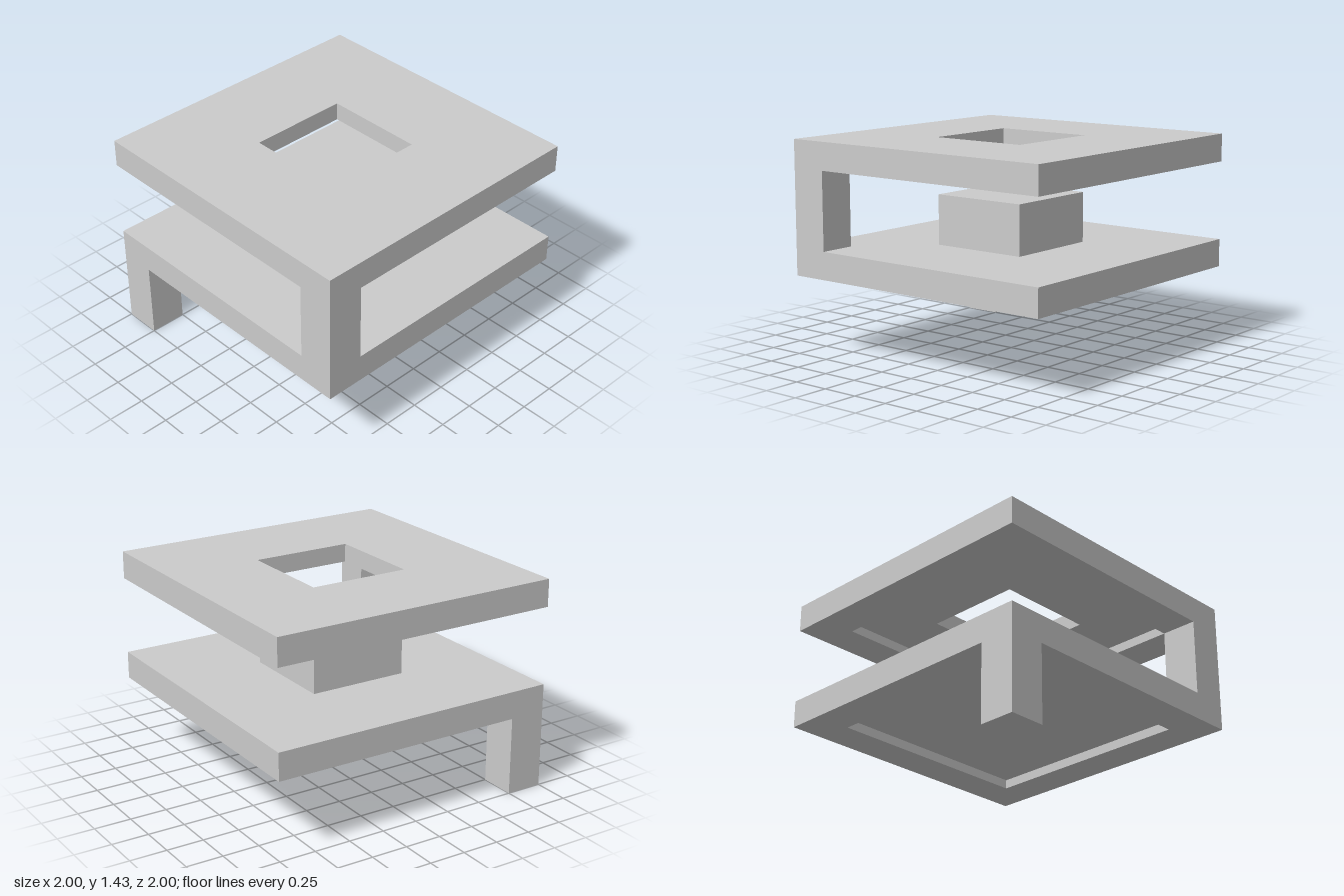
import * as THREE from 'three';

const material = new THREE.MeshStandardMaterial({ color: 0xcccccc, flatShading: true });

const SLAB = 0.187;    // slab thickness
const RECESS = 0.063;  // depth of the square recess under each slab
const SUPPORT = 0.528; // height of leg and post
const WIDTH = 0.25;    // side of leg and post

// Square slab, recessed below, with an optional square hole: a four-sided lathe.
function slab(name, y, hole) {
  const profile = [[hole, RECESS], [1 - WIDTH, RECESS], [1 - WIDTH, 0], [1, 0], [1, SLAB], [hole, SLAB]];
  if (hole > 0) profile.push([hole, RECESS]);
  const points = profile.map(([half, h]) => new THREE.Vector2(half * Math.SQRT2, h));
  const geometry = new THREE.LatheGeometry(points, 4, Math.PI / 4).toNonIndexed();
  geometry.computeVertexNormals();
  const mesh = new THREE.Mesh(geometry, material);
  mesh.name = name;
  mesh.position.y = y;
  return mesh;
}

// Square box standing on height y.
function block(name, width, height, x, y, z) {
  const mesh = new THREE.Mesh(new THREE.BoxGeometry(width, height, width), material);
  mesh.name = name;
  mesh.position.set(x, y + height / 2, z);
  return mesh;
}

export function createModel() {
  const group = new THREE.Group();
  group.name = 'steppedSlabs';
  const corner = 1 - WIDTH / 2;
  const floor = SUPPORT + SLAB;

  group.add(
    block('leg', WIDTH, SUPPORT, -corner, 0, corner),
    slab('lowerSlab', SUPPORT, 0),
    block('centreBlock', 0.68, 0.337, 0, floor, 0),
    block('post', WIDTH, SUPPORT, corner, floor, corner),
    slab('upperSlab', floor + SUPPORT, 0.344),
  );
  return group;
}
